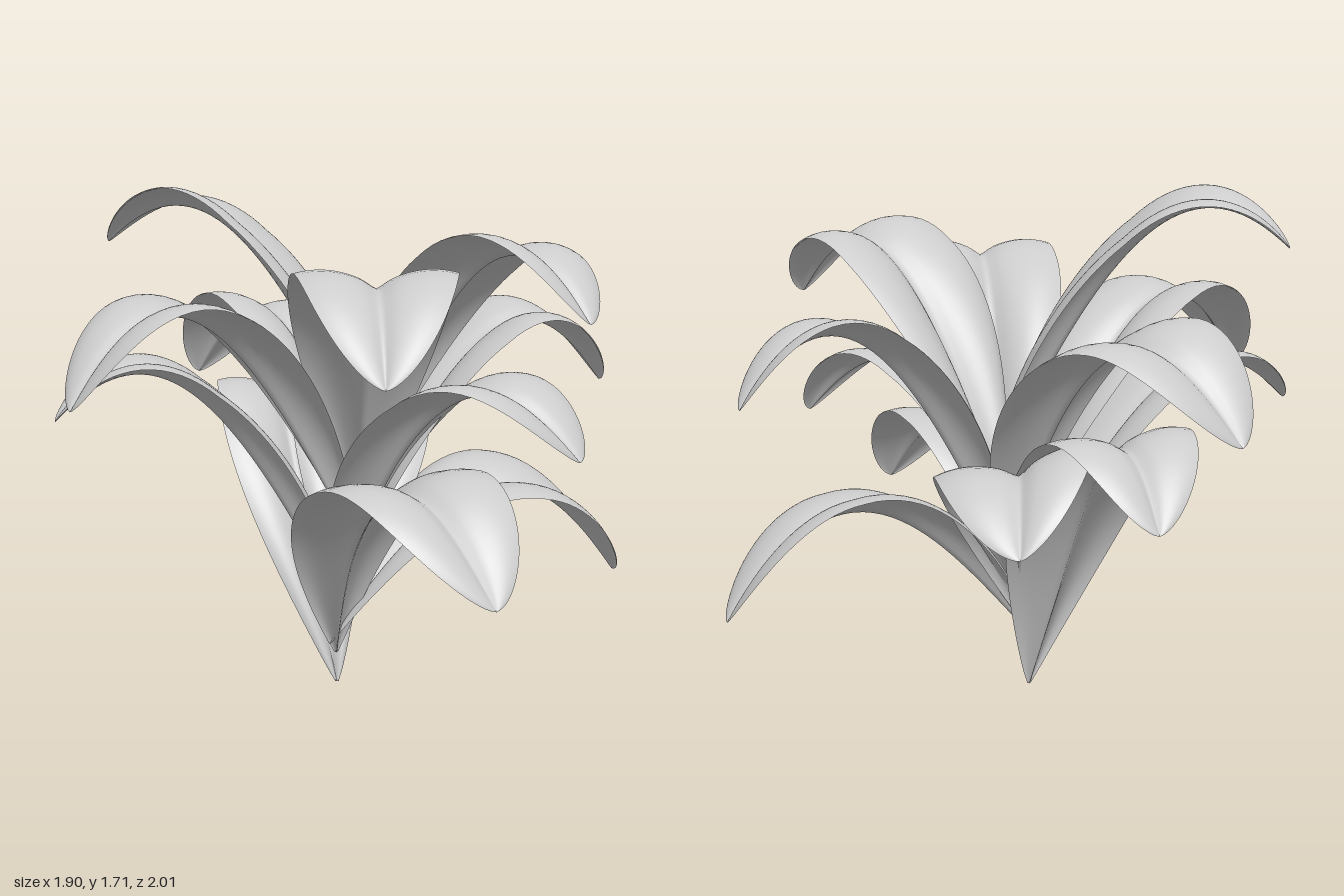
import * as THREE from 'three';

const material = new THREE.MeshStandardMaterial({ color: 0xcccccc, side: THREE.DoubleSide });

// Each leaf: base [x, y, z], crest height, tip [x, y, z], sideways bend, roll (rise per unit of width)
const LEAVES = [
  [[0.01, 0.01, -0.02], 0.99, [0.42, 0.74, -0.87], 0.04, 0.04],
  [[0.0, 0.12, -0.01], 0.89, [-0.33, 0.56, 1.0], -0.09, 0.04],
  [[-0.03, 0.16, -0.01], 0.76, [0.93, 0.34, 0.46], 0.02, 0.14],
  [[0.04, 0.25, -0.01], 0.97, [0.75, 0.69, -0.63], -0.01, 0.2],
  [[0.04, 0.25, -0.01], 1.16, [-0.80, 0.97, -0.50], -0.02, 0.03],
  [[0.04, 0.30, -0.01], 1.14, [0.19, 0.90, 0.88], -0.13, 0],
  [[0.08, 0.42, 0.0], 1.32, [0.91, 1.03, 0.39], 0.01, 0.08],
  [[0.09, 0.45, -0.01], 1.33, [0.20, 0.98, -1.0], -0.09, 0.15],
  [[0.09, 0.50, -0.01], 1.38, [-0.95, 1.06, -0.19], -0.03, 0],
  [[0.11, 0.60, -0.01], 1.50, [-0.58, 1.20, 0.80], 0, 0],
  [[0.13, 0.68, -0.01], 1.60, [0.18, 1.33, 0.91], 0, -0.13],
  [[0.17, 0.75, 0.01], 1.71, [-0.36, 1.52, -0.79], 0, 0.13],
];

// Arching midrib: rises steeply from the base, crests, then droops to the tip
function midrib(start, crest, end) {
  const y1 = start.y + 0.73 * (crest - start.y);
  const y2 = (crest - 0.043 * start.y - 0.239 * y1 - 0.275 * end.y) / 0.444;
  const p1 = start.clone().lerp(end, 0.31).setY(y1);
  const p2 = start.clone().lerp(end, 0.61).setY(y2);
  return new THREE.CubicBezierCurve3(start, p1, p2, end);
}

// Leaf blade: a grid swept along the midrib, with a channelled cross-section
function leafGeometry(base, crest, tip, bend, roll) {
  const start = new THREE.Vector3(...base);
  const end = new THREE.Vector3(...tip);
  const curve = midrib(start, crest - 0.045 - 0.24 * Math.abs(roll), end);
  const across = new THREE.Vector3(end.z - start.z, 0, start.x - end.x).normalize();
  const side = across.clone().setY(roll).normalize();
  const geometry = new THREE.PlaneGeometry(1, 1, 28, 48);
  const pos = geometry.attributes.position;
  const normal = new THREE.Vector3();
  const p = new THREE.Vector3();
  for (let i = 0; i < pos.count; i++) {
    const u = pos.getX(i) * 2;
    const a = Math.abs(u);
    const t = 1 - Math.pow(0.5 - pos.getY(i), 1.5); // rows gather at the tip
    const swell = Math.max(0, Math.sin(Math.PI * Math.pow(t, 1.42)));
    const width = 0.006 * (1 - t) + 0.255 * Math.pow(swell, 0.64);
    const fold = THREE.MathUtils.lerp(0.6, 0.18, Math.min(1, t * 1.6));
    // Sides lift from the midrib, margins roll down, a fine groove marks the rib
    const lift = width * (fold * Math.sin(2.3 * a) - 0.05 * Math.exp(-((u / 0.14) ** 2)));
    normal.crossVectors(curve.getTangentAt(t), side).normalize();
    curve.getPointAt(t, p)
      .addScaledVector(across, bend * Math.sin(Math.PI * t))
      .addScaledVector(side, width * u)
      .addScaledVector(normal, lift);
    pos.setXYZ(i, p.x, Math.max(0, p.y), p.z);
  }
  geometry.computeVertexNormals();
  return geometry;
}

export function createModel() {
  const plant = new THREE.Group();
  plant.name = 'leafRosette';
  LEAVES.forEach((shape, i) => {
    const leaf = new THREE.Mesh(leafGeometry(...shape), material);
    leaf.name = `leaf${i + 1}`;
    plant.add(leaf);
  });
  return plant;
}
